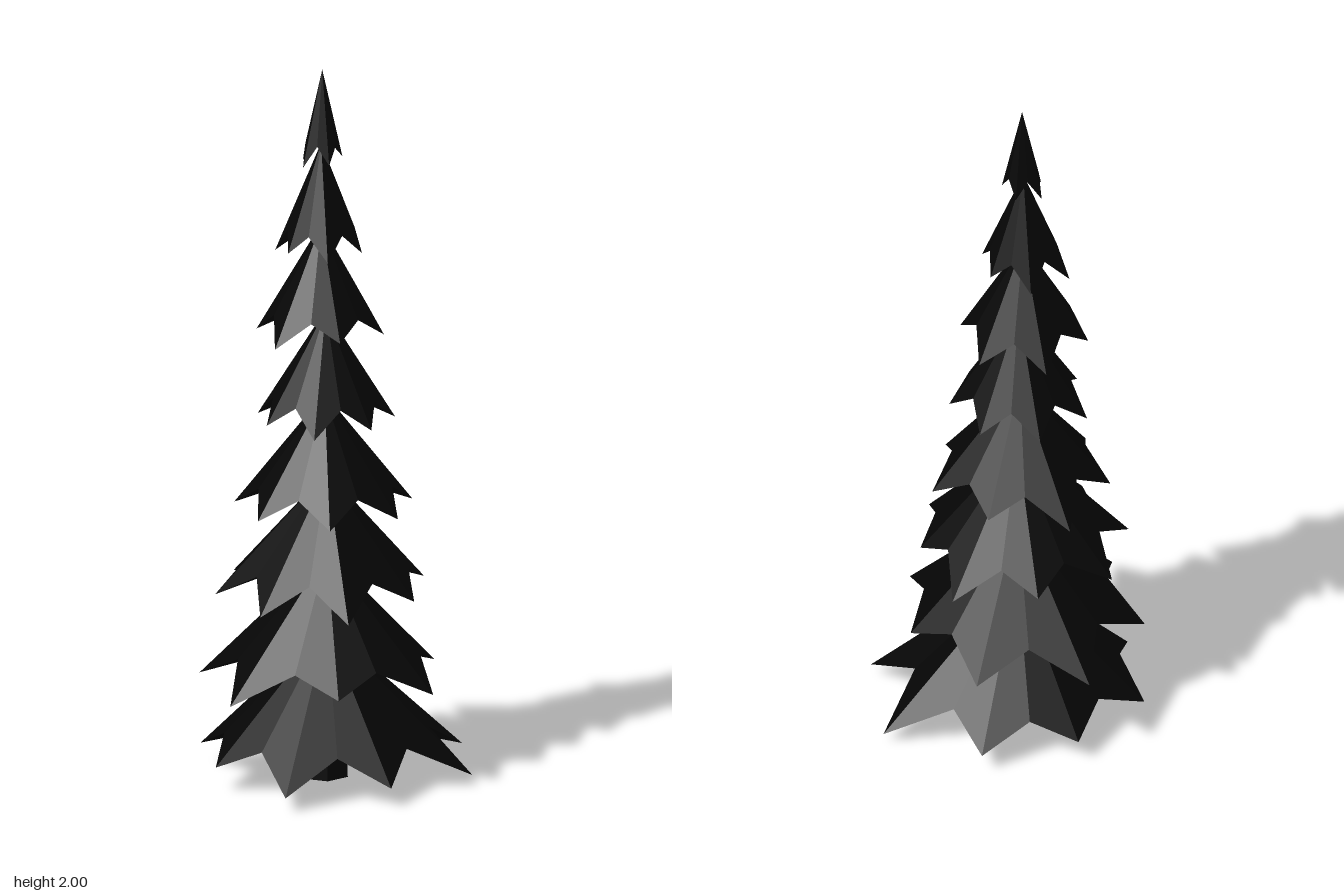
import * as THREE from 'three';

const bark = new THREE.MeshStandardMaterial({ color: 0x050505, flatShading: true });
const needles = new THREE.MeshStandardMaterial({ color: 0x050505, flatShading: true });

// Tiers from top to bottom: centre, apex and tip heights, first spike angle (degrees), spike radii
const tiers = [
  { x: -0.02, z: 0.02, top: 2.0, tip: 1.74, start: 20, radii: [0.06, 0.065, 0.065, 0.06, 0.055] },
  { x: -0.025, z: 0.02, top: 1.79, tip: 1.485, start: 30, radii: [0.125, 0.115, 0.135, 0.13, 0.115, 0.12] },
  { x: -0.025, z: 0.02, top: 1.56, tip: 1.25, start: 20, radii: [0.165, 0.19, 0.18, 0.19, 0.185, 0.175] },
  { x: -0.005, z: 0.02, top: 1.32, tip: 1.01, start: -4, radii: [0.185, 0.2, 0.185, 0.2, 0.195, 0.19, 0.19] },
  { x: -0.01, z: 0.02, top: 1.08, tip: 0.76, start: 35, radii: [0.25, 0.245, 0.25, 0.275, 0.235, 0.25, 0.245] },
  { x: 0, z: 0.02, top: 0.86, tip: 0.53, start: 28, radii: [0.33, 0.32, 0.31, 0.31, 0.285, 0.32, 0.27, 0.29] },
  { x: 0, z: 0.02, top: 0.63, tip: 0.28, start: -19, radii: [0.345, 0.31, 0.37, 0.35, 0.365, 0.345, 0.31] },
  { x: 0, z: 0.02, top: 0.42, tip: 0.05, start: 10, radii: [0.37, 0.395, 0.345, 0.36, 0.34, 0.36, 0.42, 0.415] },
];

// Star-shaped cone: alternating drooping tips and raised notches, closed beneath
function branchTier({ x, z, top, tip, start, radii }) {
  const n = radii.length, h = top - tip;
  const mean = radii.reduce((a, b) => a + b) / n;
  const ring = [];
  for (let i = 0; i < n * 2; i++) {
    const a = THREE.MathUtils.degToRad(start + (i * 180) / n);
    const r = i % 2 ? mean * 0.75 : radii[i / 2];
    // Longer spikes hang lower
    const y = i % 2 ? tip + h * 0.2 : tip - ((r - mean) * h * 0.5) / mean;
    ring.push([x + r * Math.cos(a), y, z + r * Math.sin(a)]);
  }
  const apex = [x, top, z], under = [x, tip + h * 0.3, z];
  const points = [];
  ring.forEach((p, i) => {
    const next = ring[(i + 1) % ring.length];
    points.push(...apex, ...next, ...p, ...under, ...p, ...next);
  });
  const geometry = new THREE.BufferGeometry();
  geometry.setAttribute('position', new THREE.Float32BufferAttribute(points, 3));
  geometry.computeVertexNormals();
  return geometry;
}

export function createModel() {
  const tree = new THREE.Group();
  tree.name = 'firTree';

  // Short trunk reaching into the lowest branches
  const trunk = new THREE.Mesh(new THREE.CylinderGeometry(0.066, 0.07, 0.2, 6), bark);
  trunk.name = 'trunk';
  trunk.position.set(0, 0.1, 0.03);
  tree.add(trunk);

  // Stacked branch tiers
  tiers.forEach((tier, i) => {
    const mesh = new THREE.Mesh(branchTier(tier), needles);
    mesh.name = `branchTier${i + 1}`;
    tree.add(mesh);
  });
  return tree;
}
